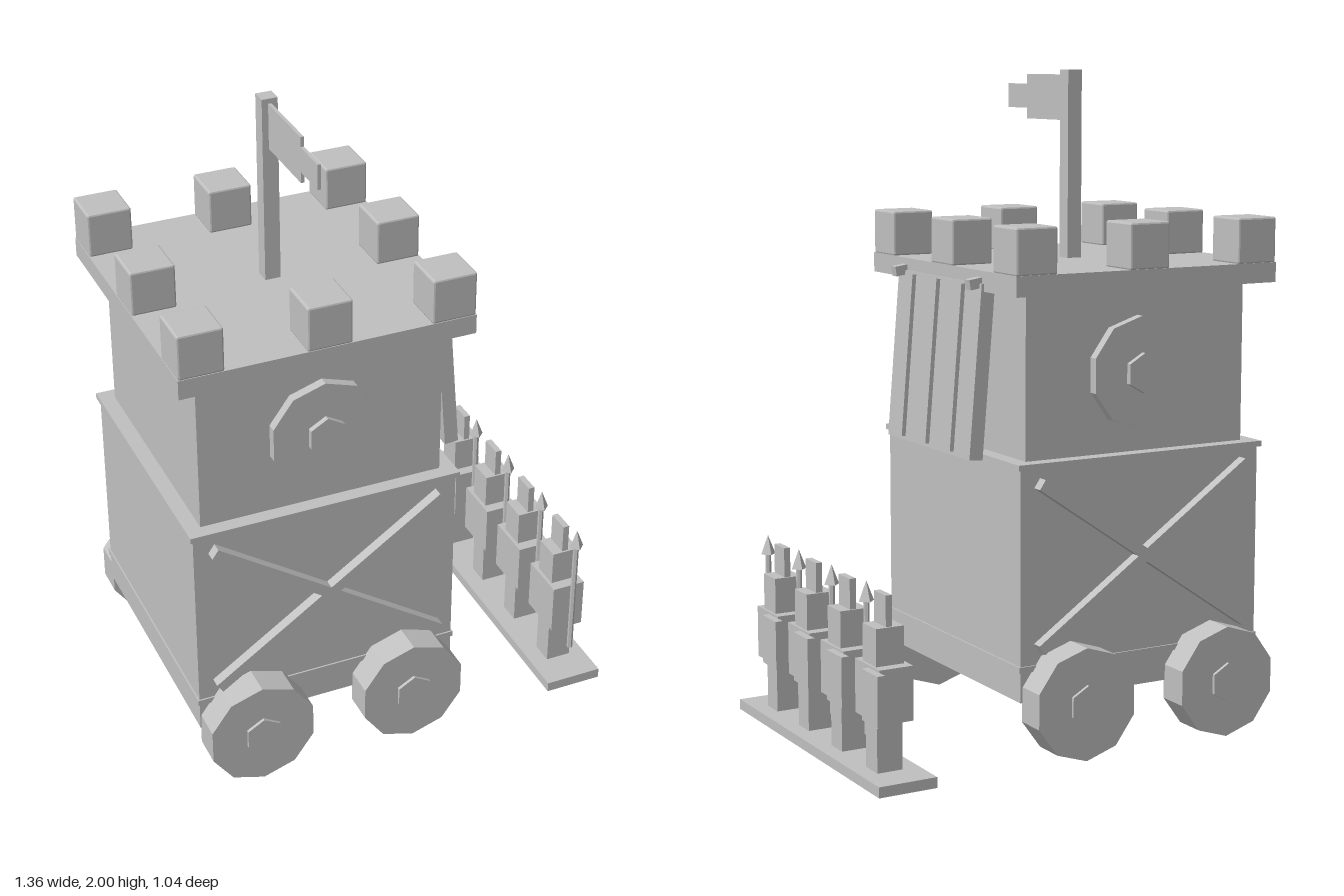
import * as THREE from 'three';
import { RoundedBoxGeometry } from 'three/addons/geometries/RoundedBoxGeometry.js';

export function createModel() {
  const model = new THREE.Group();
  model.name = 'siegeTower';
  const grey = new THREE.MeshStandardMaterial({ color: 0xc0c0c0, flatShading: true });
  grey.name = 'plainGrey';

  const add = (parent, name, geometry, x = 0, y = 0, z = 0) => {
    const mesh = new THREE.Mesh(geometry, grey);
    mesh.name = name;
    mesh.position.set(x, y, z);
    parent.add(mesh);
    return mesh;
  };
  // Box given by its lowest and highest corners
  const box = (parent, name, x0, x1, y0, y1, z0, z1) =>
    add(parent, name, new THREE.BoxGeometry(x1 - x0, y1 - y0, z1 - z0),
      (x0 + x1) / 2, (y0 + y1) / 2, (z0 + z1) / 2);
  // Upright polygonal disc facing along z, with a corner at the top
  const disc = (parent, name, r, sides, x, y, z0, z1) =>
    add(parent, name, new THREE.CylinderGeometry(r, r, Math.abs(z1 - z0), sides).rotateX(Math.PI / 2),
      x, y, (z0 + z1) / 2);

  // Tower body
  const tower = new THREE.Group();
  tower.name = 'tower';
  tower.position.x = -0.235;
  model.add(tower);
  box(tower, 'lowerBody', -0.415, 0.415, 0.18, 0.88, -0.415, 0.415);
  box(tower, 'upperBody', -0.378, 0.378, 0.88, 1.37, -0.38, 0.38);
  box(tower, 'lowerTrim', -0.42, 0.42, 0.27, 0.288, -0.42, 0.42);
  box(tower, 'upperTrim', -0.425, 0.425, 0.868, 0.885, -0.425, 0.425);
  box(tower, 'platform', -0.449, 0.449, 1.37, 1.43, -0.449, 0.449);

  // Battlements around the platform
  for (const i of [-1, 0, 1]) for (const j of [-1, 0, 1]) {
    if (i === 0 && j === 0) continue;
    add(tower, 'battlement', new RoundedBoxGeometry(0.136, 0.138, 0.136, 1, 0.006), i * 0.38, 1.497, j * 0.38);
  }

  // Flag and pole
  box(tower, 'flagPole', -0.024, 0.024, 1.43, 2, -0.024, 0.024);
  box(tower, 'flag', -0.005, 0.005, 1.847, 1.985, 0.02, 0.257);
  box(tower, 'flagTail', -0.005, 0.005, 1.88, 1.955, 0.257, 0.374);

  // Wheels, cross braces and round shields on the front and back
  for (const s of [-1, 1]) {
    for (const x of [-0.25, 0.245]) {
      disc(tower, 'wheel', 0.17, 10, x, 0.175, s * 0.41, s * 0.51);
      disc(tower, 'wheelHub', 0.06, 6, x, 0.175, s * 0.5, s * 0.52);
    }
    for (const t of [-1, 1]) {
      const brace = add(tower, 'crossBrace', new THREE.BoxGeometry(0.87, 0.034, 0.04), 0, 0.582, s * 0.428);
      brace.rotation.z = t * 0.597;
    }
    disc(tower, 'roundShield', 0.168, 10, 0, 1.122, s * 0.375, s * 0.41);
    disc(tower, 'shieldBoss', 0.06, 6, 0, 1.122, s * 0.405, s * 0.427);
  }

  // Raised drawbridge leaning on the left side
  const bridge = new THREE.Group();
  bridge.name = 'drawbridge';
  bridge.position.set(0.22, 1.135, 0);
  bridge.rotation.z = 0.082;
  model.add(bridge);
  box(bridge, 'bridgeDeck', -0.022, 0.022, -0.257, 0.257, -0.262, 0.262);
  for (const z of [-0.155, 0, 0.155])
    box(bridge, 'bridgeRib', 0.018, 0.035, -0.245, 0.25, z - 0.009, z + 0.009);
  for (const z of [-0.235, 0.235]) {
    const hinge = box(model, 'bridgeHinge', 0.18, 0.253, 1.38, 1.41, z - 0.015, z + 0.015);
    hinge.rotation.z = -0.15;
  }

  // Row of soldiers on a strip base
  box(model, 'soldierBase', 0.495, 0.678, 0, 0.032, -0.493, 0.493);
  for (let i = 0; i < 4; i++) {
    const soldier = new THREE.Group();
    soldier.name = 'soldier';
    soldier.position.set(0.589, 0, -0.348 + i * 0.232);
    model.add(soldier);
    box(soldier, 'legs', -0.04, 0.04, 0.03, 0.19, -0.036, 0.036);
    box(soldier, 'torso', -0.055, 0.052, 0.185, 0.345, -0.078, 0.078);
    box(soldier, 'head', -0.044, 0.044, 0.345, 0.455, -0.043, 0.043);
    box(soldier, 'crest', -0.01, 0.01, 0.455, 0.546, -0.037, 0.037);
    box(soldier, 'shield', 0.05, 0.074, 0.188, 0.338, -0.11, -0.01);
    add(soldier, 'spearShaft', new THREE.CylinderGeometry(0.009, 0.009, 0.4, 6), 0.008, 0.31, 0.09);
    add(soldier, 'spearTip', new THREE.ConeGeometry(0.024, 0.06, 4), 0.008, 0.534, 0.09);
  }
  return model;
}
